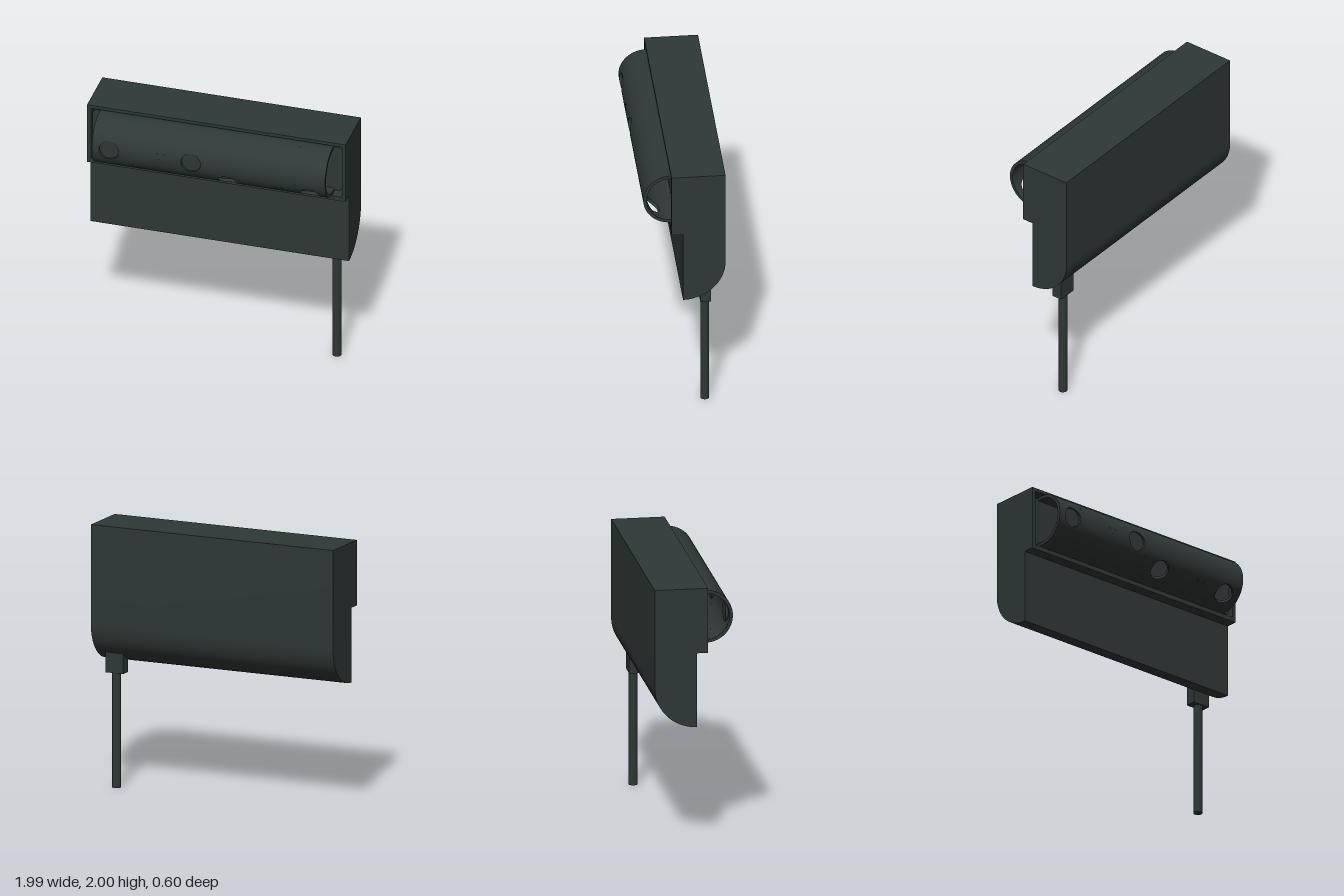
import * as THREE from 'three';
import { mergeGeometries, toCreasedNormals } from 'three/addons/utils/BufferGeometryUtils.js';

const CY = 1.757, CZ = 0.1;              // axis of the front tube
const R_OUT = 0.2, R_IN = 0.176;

// Point and radial normal on the tube; angle 0 faces front, positive goes down
const radial = (a) => new THREE.Vector3(0, -Math.sin(a), Math.cos(a));
const onTube = (x, a, r) => radial(a).multiplyScalar(r).add(new THREE.Vector3(x, CY, CZ));

// Grid surface from f(u, v) -> [position, normal], wound to match its normals
function grid(nu, nv, f) {
  const pos = [], nor = [], uv = [], idx = [];
  for (let j = 0; j <= nv; j++) for (let i = 0; i <= nu; i++) {
    const [p, n] = f(i / nu, j / nv);
    pos.push(p.x, p.y, p.z);
    nor.push(n.x, n.y, n.z);
    uv.push(i / nu, j / nv);
  }
  const at = (arr, k) => new THREE.Vector3().fromArray(arr, k * 3);
  const tri = (a, b, c) => {
    const A = at(pos, a);
    const face = at(pos, b).sub(A).cross(at(pos, c).sub(A));
    if (face.dot(at(nor, a)) < 0) idx.push(a, c, b); else idx.push(a, b, c);
  };
  for (let j = 0; j < nv; j++) for (let i = 0; i < nu; i++) {
    const a = j * (nu + 1) + i, b = a + nu + 1;
    tri(a, a + 1, b + 1);
    tri(a, b + 1, b);
  }
  const g = new THREE.BufferGeometry();
  g.setAttribute('position', new THREE.Float32BufferAttribute(pos, 3));
  g.setAttribute('normal', new THREE.Float32BufferAttribute(nor, 3));
  g.setAttribute('uv', new THREE.Float32BufferAttribute(uv, 2));
  g.setIndex(idx);
  return g;
}

// Inner and outer skin over (u, v) -> [x, angle]
function skins(nu, nv, f) {
  return [[R_OUT, 1], [R_IN, -1]].map(([r, s]) => grid(nu, nv, (u, v) => {
    const [x, a] = f(u, v);
    return [onTube(x, a, r), radial(a).multiplyScalar(s)];
  }));
}

const plainSkin = (x0, x1, a0, a1) =>
  skins(1, Math.ceil((a1 - a0) * 16), (u, v) => [x0 + (x1 - x0) * u, a0 + (a1 - a0) * v]);

// Square patch of tube pierced by a round hole, with the wall of the hole
function holedPatch(cx, ca, half, da, r) {
  const rim = (u) => {
    const t = u * Math.PI * 2;
    return [r * Math.cos(t), Math.asin(r * Math.sin(t) / R_OUT)];
  };
  const patch = skins(48, 6, (u, v) => {
    const c = Math.cos(u * Math.PI * 2), s = Math.sin(u * Math.PI * 2);
    const m = Math.max(Math.abs(c), Math.abs(s));
    const [x, a] = rim(u);
    return [cx + x + (half * c / m - x) * v, ca + a + (da * s / m - a) * v];
  });
  const wall = grid(48, 1, (u, v) => {
    const [x, a] = rim(u), t = u * Math.PI * 2;
    const n = new THREE.Vector3(0, -Math.cos(ca), -Math.sin(ca)).multiplyScalar(-Math.sin(t));
    n.x = -Math.cos(t);
    return [onTube(cx + x, ca + a, R_IN + (R_OUT - R_IN) * v), n];
  });
  return [...patch, wall];
}

function tubeGeometry(holes) {
  const A = Math.PI / 2 + 0.25, half = 0.1, da = 0.6, x0 = -0.9, x1 = 0.895;
  const parts = [];
  let x = x0;
  for (const [cx, ca] of holes) {
    parts.push(...plainSkin(x, cx - half, -A, A));
    parts.push(...plainSkin(cx - half, cx + half, -A, ca - da));
    parts.push(...plainSkin(cx - half, cx + half, ca + da, A));
    parts.push(...holedPatch(cx, ca, half, da, 0.075));
    x = cx + half;
  }
  parts.push(...plainSkin(x, x1, -A, A));
  // end rims
  for (const [ex, s] of [[x0, -1], [x1, 1]]) {
    parts.push(grid(1, 56, (u, v) =>
      [onTube(ex, -A + 2 * A * v, R_IN + (R_OUT - R_IN) * u), new THREE.Vector3(s, 0, 0)]));
  }
  return mergeGeometries(parts);
}

// Side profile in (z, y), optionally with the round cradle cut into its front
function sideProfile(cradle) {
  const s = new THREE.Shape();
  s.moveTo(-0.3, 2);
  s.lineTo(-0.3, 1.25);
  s.absellipse(0.015, 1.25, 0.315, 0.31, Math.PI, Math.PI * 1.5, false);
  s.lineTo(0.015, 1.505);
  s.lineTo(0.1, 1.505);
  if (cradle) {
    s.lineTo(0.1, CY - 0.2175);
    s.absarc(CZ, CY, 0.2175, Math.PI * 1.5, Math.PI / 2, true);
  }
  s.lineTo(0.1, 2);
  s.closePath();
  return s;
}

function extrudeAlongX(shape, x0, x1) {
  const g = new THREE.ExtrudeGeometry(shape, { depth: x1 - x0, bevelEnabled: false, curveSegments: 32 });
  g.rotateY(-Math.PI / 2).translate(x1, 0, 0);
  return toCreasedNormals(g, 0.4);
}

function roundedPlate(w, h, r, depth) {
  const s = new THREE.Shape(), x = w / 2, y = h / 2;
  s.absarc(x - r, y - r, r, 0, Math.PI / 2);
  s.absarc(-x + r, y - r, r, Math.PI / 2, Math.PI);
  s.absarc(-x + r, -y + r, r, Math.PI, Math.PI * 1.5);
  s.absarc(x - r, -y + r, r, Math.PI * 1.5, Math.PI * 2);
  s.closePath();
  return toCreasedNormals(new THREE.ExtrudeGeometry(s, { depth, bevelEnabled: false, curveSegments: 8 }), 0.5);
}

export function createModel() {
  const model = new THREE.Group();
  model.name = 'wallUnit';
  const dark = new THREE.MeshStandardMaterial({ name: 'darkSlate', color: 0x2e3836, side: THREE.DoubleSide });
  const add = (name, geometry, x = 0, y = 0, z = 0) => {
    const m = new THREE.Mesh(geometry, dark);
    m.name = name;
    m.position.set(x, y, z);
    model.add(m);
    return m;
  };

  // housing with cradle, closed by two end walls
  add('housing', extrudeAlongX(sideProfile(true), -0.965, 0.965));
  add('rightEndWall', extrudeAlongX(sideProfile(false), -0.995, -0.965));
  add('leftEndWall', extrudeAlongX(sideProfile(false), 0.965, 0.995));

  // plate behind the tube
  add('backPlate', roundedPlate(1.93, 0.375, 0.04, 0.03), 0, CY, 0.03);

  // open tube with two forward and two downward holes
  const down = Math.PI / 4;
  add('frontTube', tubeGeometry([[-0.77, 0], [-0.14, 0], [0.13, down], [0.76, down]]));

  // flat lenses in the forward holes
  for (const x of [-0.77, -0.14]) {
    add('lens', new THREE.CylinderGeometry(0.075, 0.075, 0.024, 48).rotateX(Math.PI / 2), x, CY, 0.267);
  }

  // tiny sensor dots between each pair of holes
  for (const [cx, ca] of [[-0.38, 0], [0.525, down]]) {
    for (const [dx, dy, r] of [[-0.027, 0.028, 0.013], [0.027, 0.028, 0.013], [0, -0.012, 0.006]]) {
      const a = ca - Math.asin(dy / R_OUT);
      const dot = add('sensorDot', new THREE.CylinderGeometry(r, r, 0.006, 20).rotateX(Math.PI / 2));
      dot.position.copy(onTube(cx + dx, a, R_OUT - 0.001));
      dot.rotation.x = a;
    }
  }

  // cable and its grommet
  add('cableGrommet', new THREE.BoxGeometry(0.147, 0.19, 0.08), 0.852, 0.965, -0.16);
  add('cable', new THREE.CylinderGeometry(0.033, 0.033, 0.9, 24), 0.852, 0.45, -0.16);

  return model;
}
